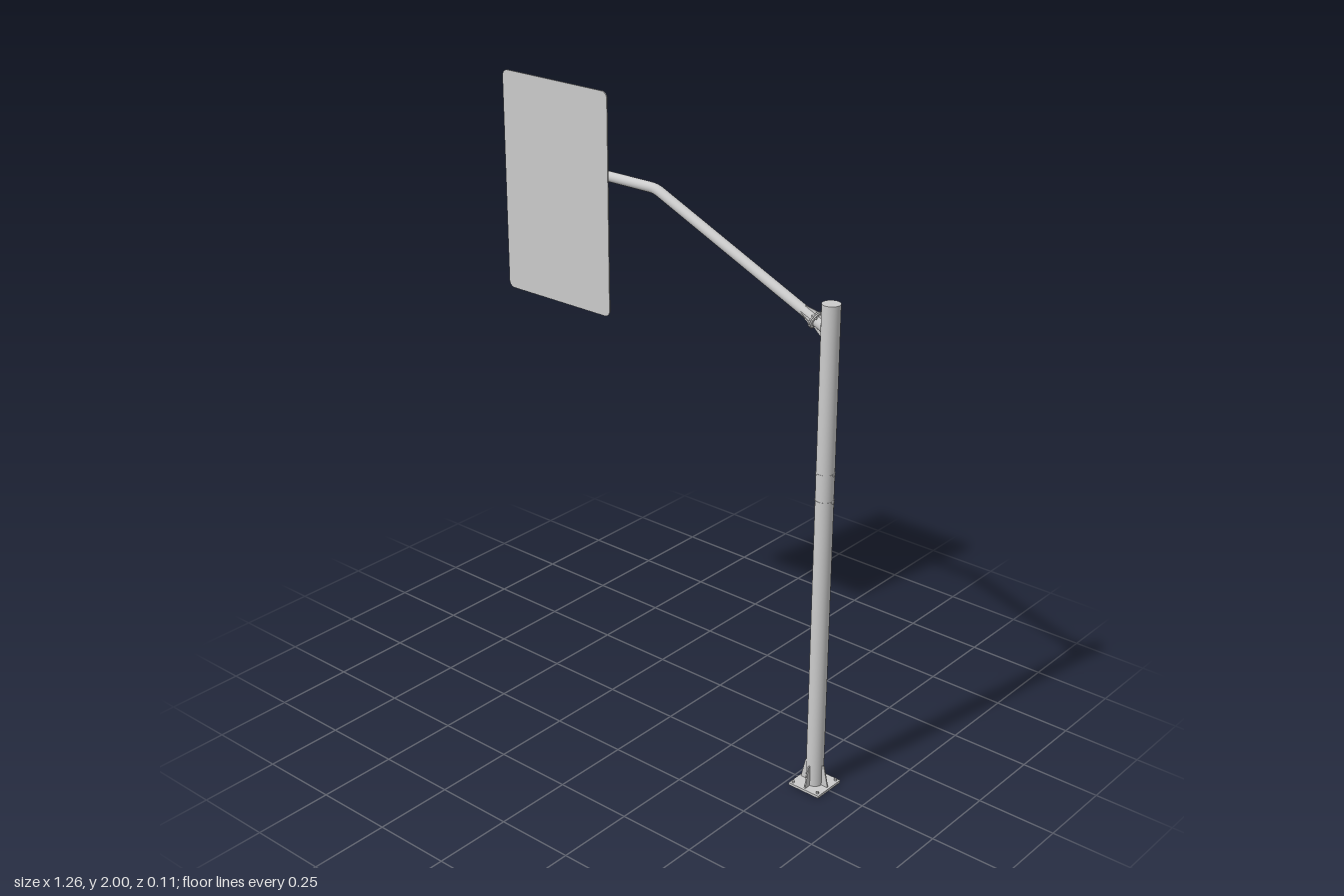
import * as THREE from 'three';

const mat = new THREE.MeshStandardMaterial({ color: 0xcccccc });

function add(parent, name, geometry, x = 0, y = 0, z = 0) {
  const mesh = new THREE.Mesh(geometry, mat);
  mesh.name = name;
  mesh.position.set(x, y, z);
  parent.add(mesh);
  return mesh;
}

// Plate cut from a 2D outline in x/y, centred on z
function plate(points, thickness) {
  const shape = new THREE.Shape(points.map(([x, y]) => new THREE.Vector2(x, y)));
  const g = new THREE.ExtrudeGeometry(shape, { depth: thickness, bevelEnabled: false });
  return g.translate(0, 0, -thickness / 2);
}

function roundedPanel(w, h, r, depth) {
  const x = w / 2, y = h / 2, s = new THREE.Shape();
  s.moveTo(-x + r, -y);
  s.lineTo(x - r, -y);
  s.absarc(x - r, -y + r, r, -Math.PI / 2, 0);
  s.lineTo(x, y - r);
  s.absarc(x - r, y - r, r, 0, Math.PI / 2);
  s.lineTo(-x + r, y);
  s.absarc(-x + r, y - r, r, Math.PI / 2, Math.PI);
  s.lineTo(-x, -y + r);
  s.absarc(-x + r, -y + r, r, Math.PI, Math.PI * 1.5);
  return new THREE.ExtrudeGeometry(s, { depth, bevelEnabled: false, curveSegments: 8 });
}

// Tube through bent points, with mitred joints and closed ends
function bentPipe(points, radius, sides = 32) {
  const path = new THREE.CurvePath();
  const [a, b, c] = points;
  const before = b.clone().lerp(a, 0.03), after = b.clone().lerp(c, 0.03);
  path.add(new THREE.LineCurve3(a, before));
  path.add(new THREE.QuadraticBezierCurve3(before, b, after));
  path.add(new THREE.LineCurve3(after, c));
  return new THREE.TubeGeometry(path, 120, radius, sides);
}

function createPost() {
  const post = new THREE.Group();
  post.name = 'post';
  add(post, 'basePlate', new THREE.BoxGeometry(0.111, 0.008, 0.111), 0, 0.004, 0);
  add(post, 'postTube', new THREE.CylinderGeometry(0.027, 0.027, 1.537, 40), 0, 0.7765, 0);

  // Base gussets and corner bolts
  const gusset = plate([[0.025, 0.008], [0.049, 0.008], [0.047, 0.02], [0.034, 0.076], [0.025, 0.076]], 0.004);
  const bolt = new THREE.CylinderGeometry(0.004, 0.004, 0.008, 6);
  for (let i = 0; i < 4; i++) {
    const a = (i * Math.PI) / 2;
    add(post, 'baseGusset', gusset).rotation.y = a;
    const k = a + Math.PI / 4;
    add(post, 'anchorBolt', bolt, Math.cos(k) * 0.064, 0.011, Math.sin(k) * 0.064);
  }

  // Clamp bands with a small fastener on the outer side
  for (const y of [0.955, 1.04]) {
    add(post, 'clampBand', new THREE.CylinderGeometry(0.0278, 0.0278, 0.004, 40), 0, y, 0);
    add(post, 'bandFastener', new THREE.BoxGeometry(0.007, 0.006, 0.006), 0.029, y, 0);
  }
  return post;
}

function createJoint(angle) {
  const joint = new THREE.Group();
  joint.name = 'armJoint';
  // Local x runs along the arm towards the post
  const stub = new THREE.CylinderGeometry(0.016, 0.016, 0.05, 32).rotateZ(Math.PI / 2);
  add(joint, 'stubTube', stub, 0.025, 0, 0);
  const flange = new THREE.CylinderGeometry(0.026, 0.026, 0.004, 32).rotateZ(Math.PI / 2);
  for (const x of [-0.0025, 0.0025]) add(joint, 'flange', flange, x, 0, 0);

  const armRib = plate([[-0.045, 0.014], [-0.004, 0.014], [-0.004, 0.025], [-0.012, 0.025], [-0.045, 0.017]], 0.003);
  const stubRib = plate([[0.004, 0.014], [0.034, 0.014], [0.034, 0.032], [0.004, 0.022]], 0.003);
  const bolt = new THREE.CylinderGeometry(0.0025, 0.0025, 0.018, 6).rotateZ(Math.PI / 2);
  for (let i = 0; i < 4; i++) {
    const a = (i * Math.PI) / 2;
    add(joint, 'armRib', armRib).rotation.x = a;
    if (i % 2 === 0) add(joint, 'stubRib', stubRib).rotation.x = a;
    const k = a + Math.PI / 4;
    add(joint, 'flangeBolt', bolt, 0, Math.cos(k) * 0.021, Math.sin(k) * 0.021);
  }
  joint.rotation.z = angle;
  return joint;
}

export function createModel() {
  const model = new THREE.Group();
  model.name = 'cantileverSign';

  const post = createPost();
  post.position.x = 0.573;
  model.add(post);

  // Overhanging arm
  const armY = 1.741, r = 0.0155;
  const tip = new THREE.Vector3(-0.613, armY, 0);
  const bend = new THREE.Vector3(-0.055, armY, 0);
  const root = new THREE.Vector3(0.522, 1.485, 0);
  add(model, 'arm', bentPipe([tip, bend, root], r));
  add(model, 'armCap', new THREE.CircleGeometry(r, 32), tip.x, armY, 0).rotation.y = -Math.PI / 2;

  const joint = createJoint(Math.atan2(root.y - bend.y, root.x - bend.x));
  joint.position.copy(root);
  model.add(joint);

  // Sign panel
  add(model, 'signPanel', roundedPanel(0.417, 0.682, 0.02, 0.004), -0.4205, 1.659, 0.027);

  // Vertical brackets clamped to the arm
  const bracket = new THREE.BoxGeometry(0.01, 0.135, 0.008);
  const clamp = new THREE.TorusGeometry(r, 0.0016, 6, 24, Math.PI).rotateZ(Math.PI / 2).rotateY(-Math.PI / 2);
  for (const x of [-0.58, -0.507, -0.421, -0.335, -0.25]) {
    add(model, 'signBracket', bracket, x, armY, 0.023);
    add(model, 'armClamp', clamp, x, armY, 0);
    for (const s of [-1, 1]) {
      const leg = new THREE.CylinderGeometry(0.0016, 0.0016, 0.022, 6).rotateX(Math.PI / 2);
      add(model, 'clampLeg', leg, x, armY + s * r, 0.011);
    }
  }
  return model;
}
